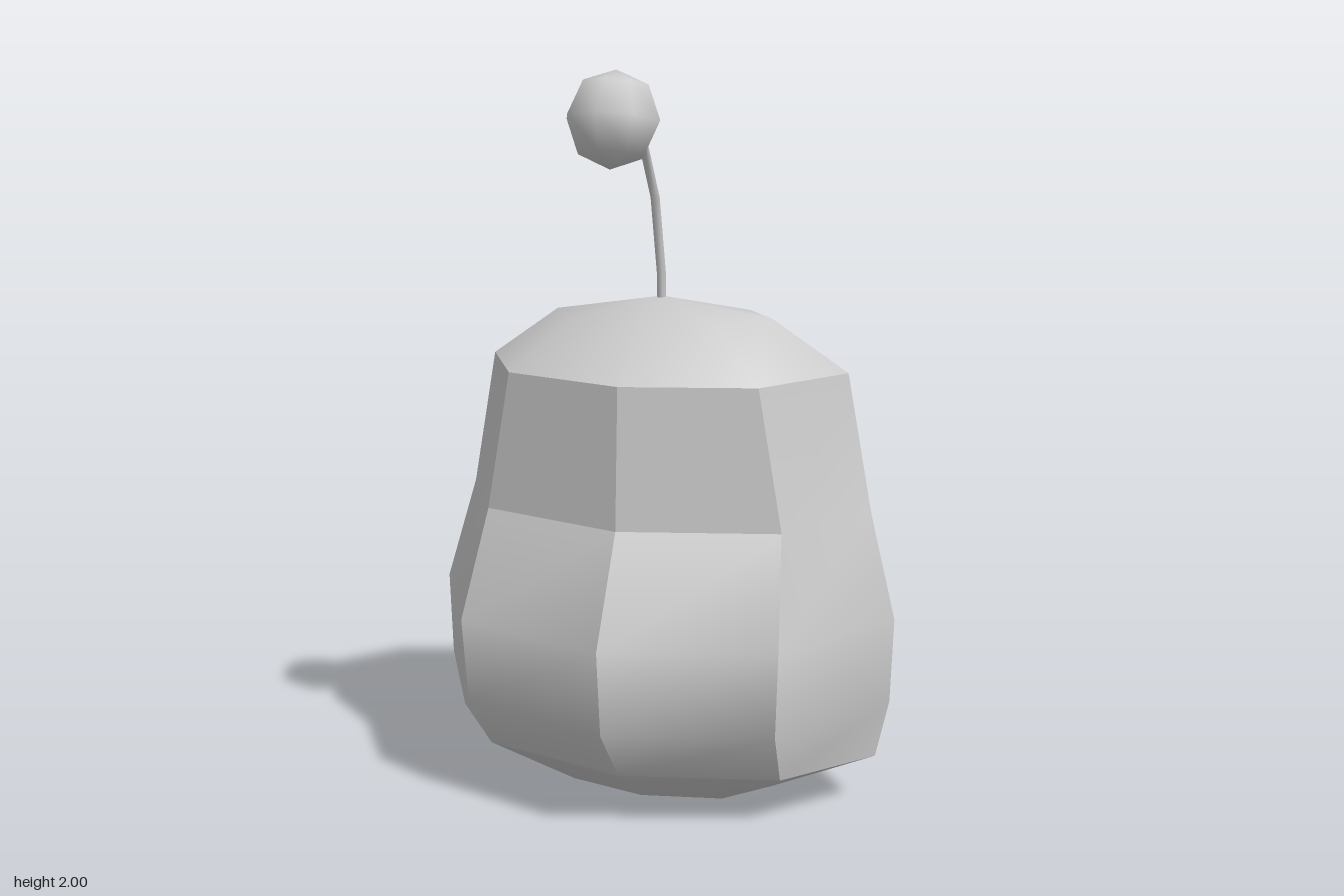
import * as THREE from 'three';
import { mergeVertices } from 'three/addons/utils/BufferGeometryUtils.js';

// Ring: height, side x, diagonal x, then z of front, front diagonal, side, back diagonal, back
const RINGS = [
  [0.00, 0, 0, -0.02, -0.02, -0.02, -0.02, -0.02],
  [0.01, 0.33, 0.22, 0.165, 0.115, -0.02, -0.145, -0.20],
  [0.14, 0.62, 0.42, 0.35, 0.24, -0.015, -0.27, -0.375],
  [0.30, 0.655, 0.435, 0.48, 0.35, -0.02, -0.345, -0.48],
  [0.535, 0.663, 0.445, 0.505, 0.365, -0.02, -0.362, -0.507],
  [0.82, 0.585, 0.415, 0.36, 0.24, -0.05, -0.30, -0.43],
  [1.20, 0.515, 0.348, 0.34, 0.238, -0.047, -0.267, -0.368],
  [1.34, 0.31, 0.21, 0.195, 0.135, -0.02, -0.155, -0.215],
  [1.39, 0, 0, -0.01, -0.01, -0.01, -0.01, -0.01],
];

// Corner k of a ring, counted from the front towards +x
function corner([y, side, diag, ...z], k) {
  k %= 8;
  const m = k <= 4 ? k : 8 - k;
  const x = [0, diag, side, diag, 0][m];
  return [k <= 4 ? x : -x, y, z[m]];
}

// Smooth patch spanning a range of rings and corners
function patch(r0, r1, k0, k1) {
  const positions = [];
  for (let r = r0; r < r1; r++) {
    for (let k = k0; k < k1; k++) {
      const a = corner(RINGS[r], k), b = corner(RINGS[r], k + 1);
      const c = corner(RINGS[r + 1], k + 1), d = corner(RINGS[r + 1], k);
      if (r > 0) positions.push(...a, ...b, ...c);
      if (r === 0) positions.push(...a, ...b, ...c, ...a, ...c, ...d);
      else if (r + 1 < RINGS.length - 1) positions.push(...a, ...c, ...d);
    }
  }
  let geometry = new THREE.BufferGeometry();
  geometry.setAttribute('position', new THREE.Float32BufferAttribute(positions, 3));
  geometry = mergeVertices(geometry);
  geometry.computeVertexNormals();
  return geometry;
}

export function createModel() {
  const model = new THREE.Group();
  const material = new THREE.MeshStandardMaterial({ color: 0xcccccc });
  const add = (name, geometry, parent = model) => {
    const mesh = new THREE.Mesh(geometry, material);
    mesh.name = name;
    parent.add(mesh);
    return mesh;
  };

  // Body: eight panels with hard vertical edges, the front ones creased at the waist
  const body = new THREE.Group();
  body.name = 'body';
  model.add(body);
  for (let k = 0; k < 8; k++) {
    if (k === 0 || k === 7) {
      add('frontLowerPanel', patch(2, 5, k, k + 1), body);
      add('frontUpperPanel', patch(5, 6, k, k + 1), body);
    } else {
      add('sidePanel', patch(2, 6, k, k + 1), body);
    }
  }
  add('bodyTop', patch(6, 8, 0, 8), body);
  add('bodyBottom', patch(0, 2, 0, 8), body);

  // Stalk bending forward, one straight segment between each pair of points
  const points = [[1.34, -0.01], [1.45, -0.006], [1.66, 0.045], [1.795, 0.13], [1.875, 0.24], [1.885, 0.3]]
    .map(([y, z]) => new THREE.Vector3(0, y, z));
  const curve = new THREE.CatmullRomCurve3(points);
  curve.getPointAt = curve.getPoint;
  curve.getTangentAt = curve.getTangent;
  add('stalk', new THREE.TubeGeometry(curve, points.length - 1, 0.013, 6));

  // Ball at the tip
  const ball = add('ball', new THREE.SphereGeometry(0.124, 8, 4));
  ball.position.set(0, 1.879, 0.36);
  ball.rotation.x = -0.2;

  return model;
}
